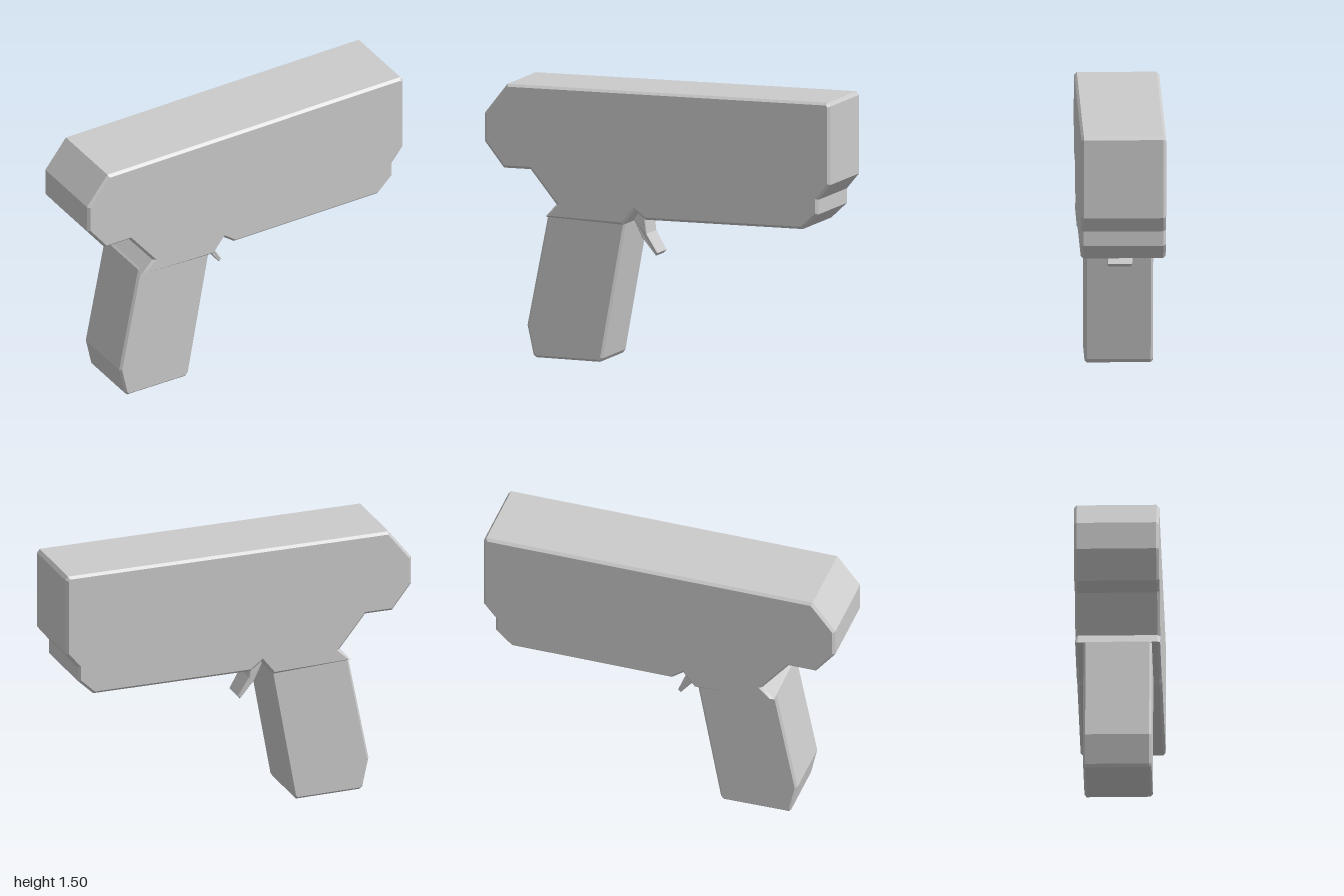
import * as THREE from 'three';

const material = new THREE.MeshStandardMaterial({ color: 0xcccccc, flatShading: true });

// Side profile extruded across z, with its outer edges chamfered inwards
function slab(name, points, halfWidth, chamfer) {
  const shape = new THREE.Shape(points.map(([x, y]) => new THREE.Vector2(x, y)));
  const geometry = new THREE.ExtrudeGeometry(shape, {
    depth: 2 * (halfWidth - chamfer),
    bevelEnabled: true,
    bevelSegments: 1,
    bevelThickness: chamfer,
    bevelSize: chamfer,
    bevelOffset: -chamfer,
  });
  geometry.translate(0, 0, chamfer - halfWidth);
  const mesh = new THREE.Mesh(geometry, material);
  mesh.name = name;
  return mesh;
}

export function createModel() {
  const model = new THREE.Group();
  model.name = 'blockyPistol';

  // Body: rounded-off rear, stepped nose, notches behind and ahead of the grip
  model.add(slab('body', [
    [-1, 1.18], [-0.89, 1.04], [-0.735, 1.04], [-0.585, 0.855], [-0.65, 0.785],
    [-0.2, 0.765], [-0.135, 0.848], [-0.07, 0.8], [0.84, 0.8], [0.93, 0.885],
    [0.93, 0.965], [1, 1.05], [1, 1.48], [0.985, 1.5], [-0.87, 1.5], [-1, 1.335],
  ], 0.23, 0.014));

  // Grip: slanted block whose top is sunk into the body
  model.add(slab('grip', [
    [-0.77, 0.18], [-0.735, 0.02], [-0.72, 0.005], [-0.35, 0], [-0.335, 0.02],
    [-0.2, 0.77], [-0.2, 0.79], [-0.63, 0.805], [-0.65, 0.787],
  ], 0.185, 0.012));

  // Trigger: curved blade narrowing towards its tip
  const trigger = slab('trigger', [
    [-0.19, 0.77], [-0.148, 0.68], [-0.07, 0.58], [-0.055, 0.597],
    [-0.117, 0.7], [-0.135, 0.84], [-0.15, 0.87], [-0.2, 0.82],
  ], 0.077, 0.005);
  const position = trigger.geometry.attributes.position;
  for (let i = 0; i < position.count; i++) {
    const t = THREE.MathUtils.clamp((position.getY(i) - 0.58) / 0.2, 0, 1);
    position.setZ(i, position.getZ(i) * (0.82 + 0.18 * Math.sqrt(t)));
  }
  trigger.geometry.computeVertexNormals();
  model.add(trigger);

  return model;
}
